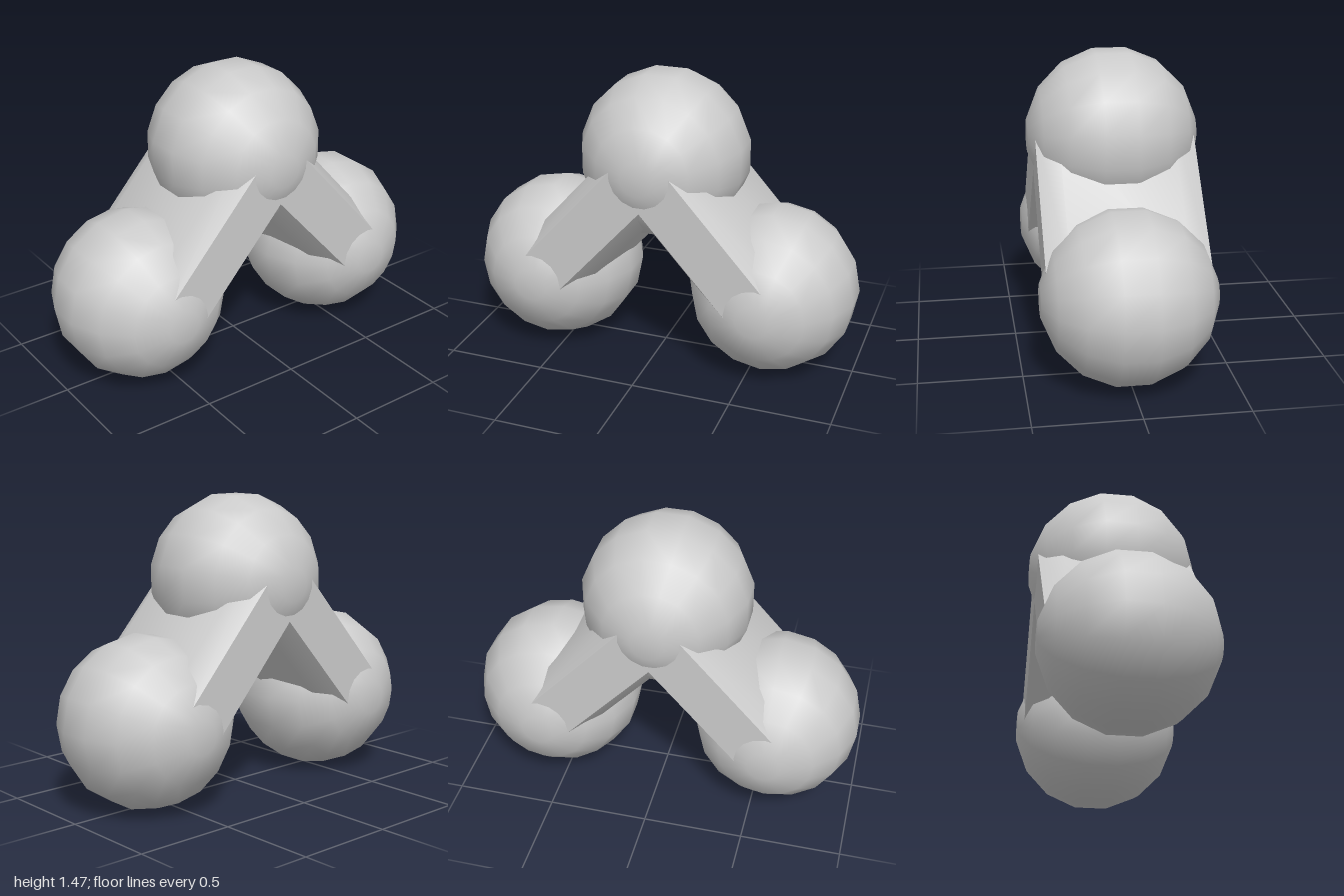
import * as THREE from 'three';
import { toCreasedNormals } from 'three/addons/utils/BufferGeometryUtils.js';

const material = new THREE.MeshStandardMaterial({ color: 0xcccccc });
const TOP = new THREE.Vector3(0, 1.07, 0);

// Sixteen-sided ball with its poles on z and small flat pole caps
function ball(name, center, radius, turn) {
  const points = [new THREE.Vector2(0, -radius * Math.cos(Math.PI / 16))];
  for (let i = 0; i < 8; i++) {
    const a = Math.PI * (i + 0.5) / 8;
    points.push(new THREE.Vector2(radius * Math.sin(a), -radius * Math.cos(a)));
  }
  points.push(new THREE.Vector2(0, radius * Math.cos(Math.PI / 16)));
  const geometry = new THREE.LatheGeometry(points, 16);
  geometry.rotateX(Math.PI / 2).rotateZ(turn);

  // Smooth round normals
  const p = geometry.attributes.position;
  const v = new THREE.Vector3();
  for (let i = 0; i < p.count; i++) {
    v.fromBufferAttribute(p, i).normalize();
    geometry.attributes.normal.setXYZ(i, v.x, v.y, v.z);
  }
  const mesh = new THREE.Mesh(geometry, material);
  mesh.name = name;
  mesh.position.copy(center);
  return mesh;
}

// Deep, narrow bar running from the top ball to a lower ball
function arm(name, end) {
  const half = [[0.18, 0.28], [0.12, 0.39], [-0.12, 0.39], [-0.19, 0.28]];
  const section = [
    ...half, [-0.24, 0],
    ...half.slice().reverse().map(([x, y]) => [x, -y]),
  ].map(([x, y]) => new THREE.Vector2(x, y));

  const along = end.clone().sub(TOP);
  const length = along.length();
  along.normalize();
  const side = Math.sign(end.x);
  const outward = new THREE.Vector3(-along.y * side, along.x * side, 0);
  const across = along.clone().cross(outward);

  const bar = new THREE.ExtrudeGeometry(new THREE.Shape(section), { depth: length, bevelEnabled: false });
  bar.applyMatrix4(new THREE.Matrix4().makeBasis(outward, across, along).setPosition(TOP));
  const mesh = new THREE.Mesh(toCreasedNormals(bar, 1.0), material);
  mesh.name = name;
  return mesh;
}

export function createModel() {
  const group = new THREE.Group();
  group.name = 'threeBallJoint';
  group.add(ball('topBall', TOP, 0.427, Math.PI / 16));
  for (const [label, side] of [['left', 1], ['right', -1]]) {
    const center = new THREE.Vector3(side * 0.577, 0.426, 0);
    group.add(ball(label + 'Ball', center, 0.426, 0));
    group.add(arm(label + 'Arm', center));
  }
  return group;
}
